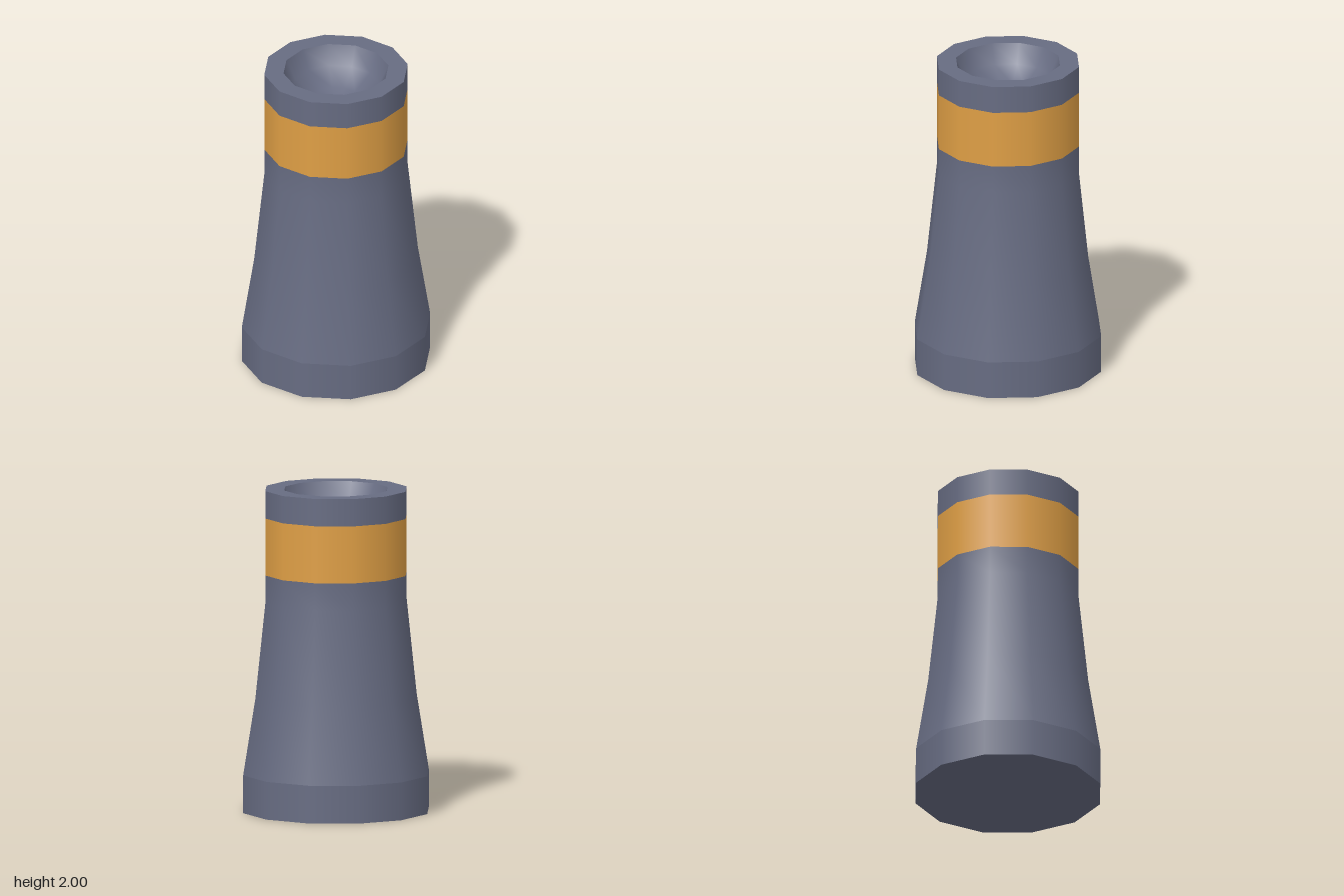
import * as THREE from 'three';

export function createModel() {
  const group = new THREE.Group();
  const slate = new THREE.MeshStandardMaterial({ color: 0x676c82 });
  slate.name = 'slate';
  const amber = new THREE.MeshStandardMaterial({ color: 0xdf9f45 });
  amber.name = 'amber';

  // Twelve-sided turned section; profile runs upward outside, downward inside
  const turn = (name, material, profile) => {
    const points = profile.map(([r, y]) => new THREE.Vector2(r, y));
    const mesh = new THREE.Mesh(new THREE.LatheGeometry(points, 12), material);
    mesh.name = name;
    group.add(mesh);
  };

  const base = 0.587, neck = 0.447, bore = 0.327;

  // Closed foot
  turn('bottomCap', slate, [[0, 0], [base, 0]]);
  turn('baseRing', slate, [[base, 0], [base, 0.235]]);

  // Tapering body up to the straight neck
  turn('body', slate, [[base, 0.235], [0.51, 0.71], [neck, 1.3], [neck, 1.475]]);

  // Coloured band and collar above it
  turn('band', amber, [[neck, 1.475], [neck, 1.83]]);
  turn('collar', slate, [[neck, 1.83], [neck, 2]]);

  // Flat rim and hollow mouth
  turn('rim', slate, [[neck, 2], [bore, 2]]);
  turn('mouth', slate, [[bore, 2], [0.27, 1.88], [0.15, 1.79], [0, 1.76]]);

  return group;
}
